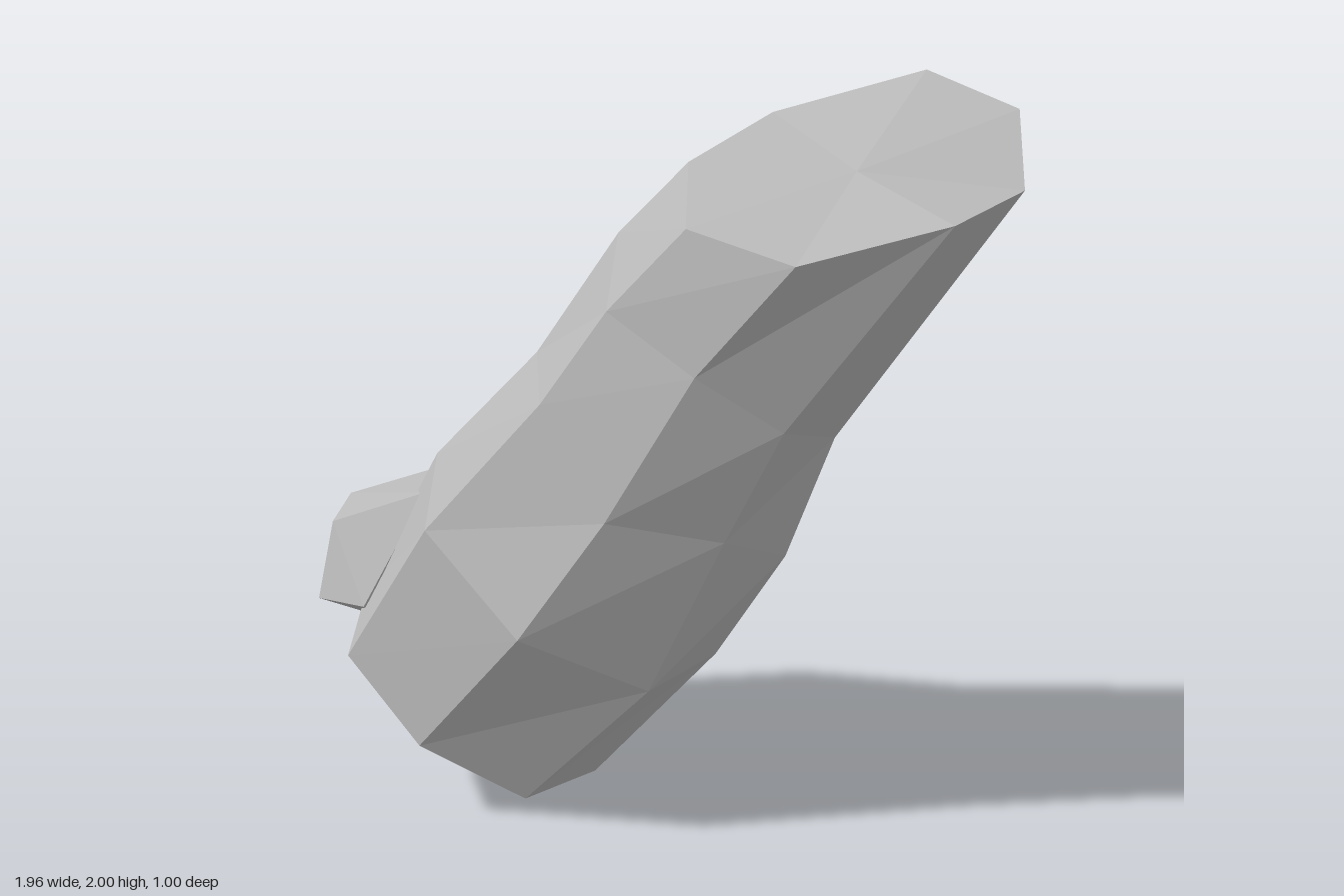
import * as THREE from 'three';

// Skins a stack of rings, closing both ends with fans around a centre point.
function loft(name, rings, endCentre, startCentre, material) {
  const pos = [];
  const tri = (a, b, c) => pos.push(...a, ...b, ...c);
  const n = rings[0].length, last = rings[rings.length - 1];
  for (let j = 0; j < n; j++) {
    const k = (j + 1) % n;
    for (let i = 0; i < rings.length - 1; i++) {
      const lo = rings[i], up = rings[i + 1];
      tri(lo[k], lo[j], up[j]);
      tri(lo[k], up[j], up[k]);
    }
    tri(last[k], last[j], endCentre);
    tri(rings[0][j], rings[0][k], startCentre);
  }
  const geo = new THREE.BufferGeometry();
  geo.setAttribute('position', new THREE.Float32BufferAttribute(pos, 3));
  geo.computeVertexNormals();
  const mesh = new THREE.Mesh(geo, material);
  mesh.name = name;
  return mesh;
}

export function createModel() {
  const group = new THREE.Group();
  group.name = 'brokenLog';
  const grey = new THREE.MeshStandardMaterial({ color: 0xb8b8b8, flatShading: true });
  grey.name = 'grey';

  // Leaning trunk: five eight-sided cross-sections from foot to cut top
  const foot = [[-0.16, 0, -0.05], [-0.2, 0.05, 0.28], [-0.44, 0.22, 0.43], [-0.7, 0.41, 0.37],
    [-0.81, 0.49, 0.1], [-0.76, 0.43, -0.25], [-0.58, 0.28, -0.42], [-0.3, 0.1, -0.32]];
  const belly = [[0.18, 0.4, -0.12], [0.16, 0.43, 0.25], [-0.09, 0.62, 0.5], [-0.41, 0.84, 0.42],
    [-0.57, 0.93, 0.09], [-0.57, 0.89, -0.27], [-0.32, 0.73, -0.5], [-0.02, 0.51, -0.44]];
  const waist = [[0.4, 0.74, -0.08], [0.36, 0.87, 0.22], [0.11, 0.94, 0.4], [-0.1, 1.21, 0.35],
    [-0.27, 1.25, 0.06], [-0.2, 1.24, -0.23], [0, 1.03, -0.44], [0.23, 0.84, -0.34]];
  const neck = [[0.52, 1.08, -0.11], [0.51, 1.18, 0.2], [0.32, 1.33, 0.32], [0.06, 1.46, 0.29],
    [-0.03, 1.6, 0.05], [-0.02, 1.58, -0.25], [0.17, 1.38, -0.4], [0.38, 1.18, -0.34]];
  const rim = [[0.98, 1.77, -0.17], [0.9, 1.73, 0.1], [0.58, 1.64, 0.31], [0.27, 1.69, 0.27],
    [0.16, 1.8, 0.03], [0.27, 1.89, -0.24], [0.62, 2, -0.42], [0.89, 1.93, -0.37]];
  group.add(loft('trunk', [foot, belly, waist, neck, rim],
    [0.58, 1.8, -0.06], [-0.48, 0.25, 0], grey));

  // Short snapped branch with a dented end
  const root = [[-0.59, 0.85, -0.12], [-0.58, 0.83, 0.14], [-0.73, 0.5, 0.24],
    [-0.67, 0.36, 0.02], [-0.7, 0.45, -0.26]];
  const tip = [[-0.98, 0.69, -0.09], [-0.91, 0.68, 0.11], [-0.92, 0.47, 0.18],
    [-0.9, 0.365, -0.16], [-0.87, 0.52, -0.2]];
  group.add(loft('branchStub', [root, tip], [-0.93, 0.53, 0], [-0.6, 0.6, 0], grey));

  return group;
}
